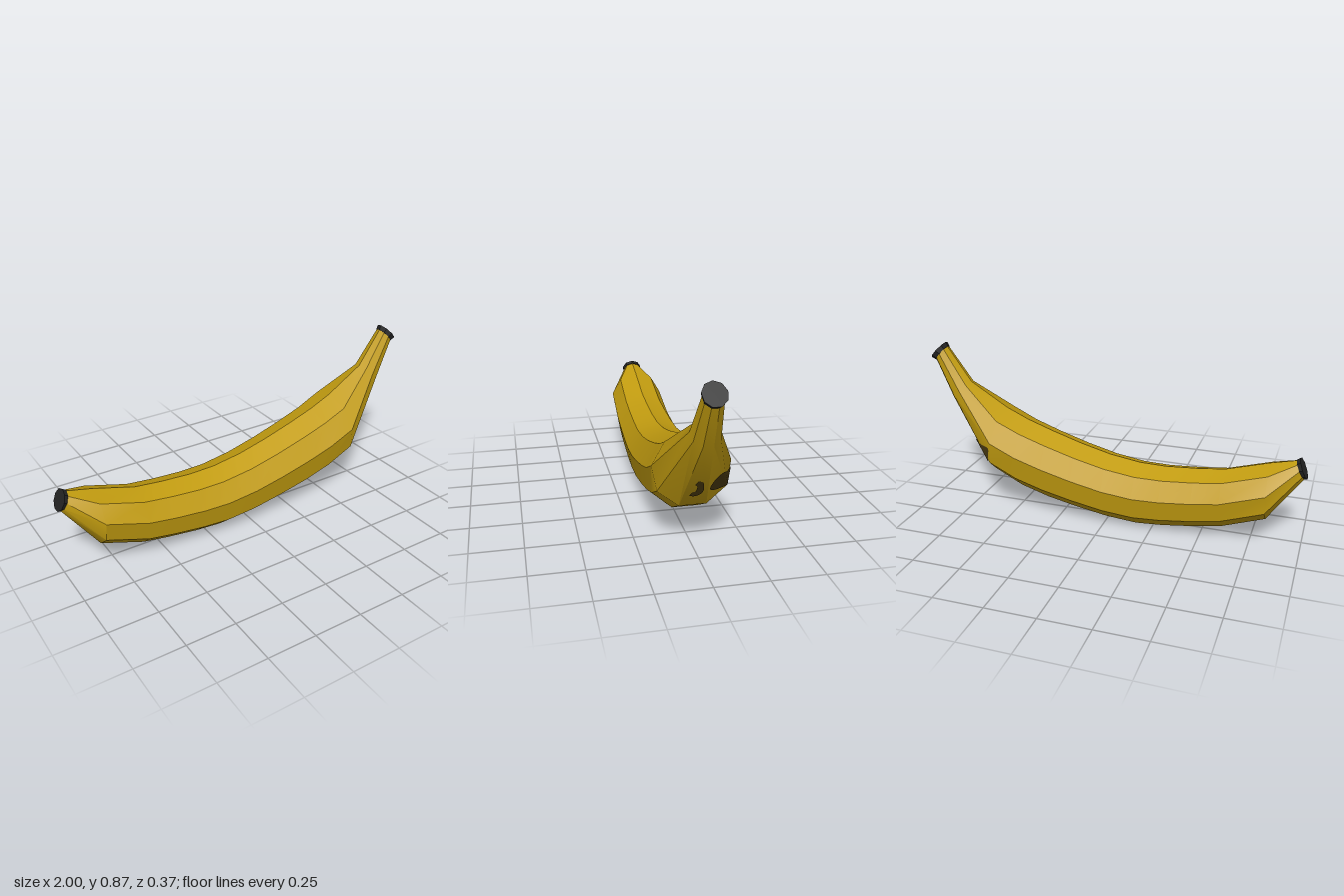
import * as THREE from 'three';
import { toCreasedNormals } from 'three/addons/utils/BufferGeometryUtils.js';

const SIDES = 9;
const COS = Math.cos(Math.PI / SIDES);

// Cross-sections: [top x, top y, bottom x, bottom y, radius across z]
const BODY = [
  [-0.945, 0.442, -0.987, 0.358, 0.048],
  [-0.82, 0.412, -0.82, 0.13, 0.147],
  [-0.6, 0.347, -0.6, 0.053, 0.153],
  [-0.46, 0.331, -0.46, 0.03, 0.157],
  [-0.3, 0.32, -0.3, 0.01, 0.161],
  [-0.16, 0.323, -0.16, 0.001, 0.165],
  [0, 0.347, 0, 0.015, 0.17],
  [0.16, 0.388, 0.17, 0.045, 0.174],
  [0.32, 0.438, 0.33, 0.08, 0.178],
  [0.46, 0.487, 0.48, 0.127, 0.182],
  [0.58, 0.541, 0.63, 0.205, 0.186],
  [0.78, 0.663, 0.88, 0.577, 0.068],
  [0.908, 0.845, 0.97, 0.775, 0.047],
];
const TIP_CAP = [
  [-0.957, 0.456, -1.0, 0.357, 0.056],
  [-0.94, 0.445, -0.985, 0.355, 0.05],
];
const STEM_CAP = [
  [0.905, 0.846, 0.97, 0.771, 0.049],
  [0.916, 0.868, 0.995, 0.784, 0.055],
];

function geometryFrom(points, index) {
  const g = new THREE.BufferGeometry();
  g.setAttribute('position', new THREE.Float32BufferAttribute(points, 3));
  g.setIndex(index);
  return g;
}

// Skin a row of nine-sided rings, running towards +x, optionally closed at both ends
function loft(rings, closed, crease) {
  const pts = [], idx = [], centres = [];
  for (const [tx, ty, bx, by, rz] of rings) {
    const dx = (tx - bx) / (1 + COS), dy = (ty - by) / (1 + COS);
    centres.push([tx - dx, ty - dy, 0]);
    for (let j = 0; j < SIDES; j++) {
      const a = (j / SIDES) * Math.PI * 2;
      pts.push(tx - dx + dx * Math.cos(a), ty - dy + dy * Math.cos(a), rz * Math.sin(a));
    }
  }
  const at = (i, j) => i * SIDES + (j % SIDES);
  const last = rings.length - 1;
  for (let j = 0; j < SIDES; j++) {
    for (let i = 0; i < last; i++) {
      idx.push(at(i, j), at(i, j + 1), at(i + 1, j), at(i, j + 1), at(i + 1, j + 1), at(i + 1, j));
    }
  }
  if (closed) {
    const c = pts.length / 3;
    pts.push(...centres[0], ...centres[last]);
    for (let j = 0; j < SIDES; j++) {
      idx.push(c, at(0, j + 1), at(0, j), c + 1, at(last, j), at(last, j + 1));
    }
  }
  return toCreasedNormals(geometryFrom(pts, idx), crease);
}

// Lay a grid of (z, y) points on the underside of the neck, just above the skin
function bruise(body, rows, cols, place, material, name) {
  const ray = new THREE.Raycaster();
  const pts = [], idx = [];
  for (let i = 0; i <= rows; i++) {
    for (let j = 0; j <= cols; j++) {
      let [z, y] = place(i / rows, j / cols);
      let hit;
      for (let k = 0; k < 12 && !hit; k++, z *= 0.985) {
        ray.set(new THREE.Vector3(3, y, z), new THREE.Vector3(-1, 0, 0));
        hit = ray.intersectObject(body)[0];
      }
      const p = hit.point.addScaledVector(hit.face.normal, 0.004);
      pts.push(p.x, p.y, p.z);
    }
  }
  for (let i = 0; i < rows; i++) {
    for (let j = 0; j < cols; j++) {
      const a = i * (cols + 1) + j, b = a + cols + 1;
      idx.push(a, b, a + 1, b, b + 1, a + 1);
    }
  }
  const g = geometryFrom(pts, idx);
  g.computeVertexNormals();
  const mesh = new THREE.Mesh(g, material);
  mesh.name = name;
  return mesh;
}

const curve = (list, closed) =>
  new THREE.CatmullRomCurve3(list.map(([z, y]) => new THREE.Vector3(z, y, 0)), closed);

export function createModel() {
  const group = new THREE.Group();
  group.name = 'banana';
  const peel = new THREE.MeshStandardMaterial({ color: 0xc29c10 });
  peel.name = 'yellow peel';
  const dark = new THREE.MeshStandardMaterial({ color: 0x232323 });
  dark.name = 'black ends';
  const brown = new THREE.MeshStandardMaterial({ color: 0x4a3a10, side: THREE.DoubleSide });
  brown.name = 'brown bruise';

  const add = (name, geometry, material) => {
    const mesh = new THREE.Mesh(geometry, material);
    mesh.name = name;
    group.add(mesh);
    return mesh;
  };

  // Curved fruit with its two dark ends
  const body = add('peel', loft(BODY, false, 0.5), peel);
  add('tipCap', loft(TIP_CAP, true, 0.5), dark);
  add('stemCap', loft(STEM_CAP, true, 0.5), dark);

  // Large bruise: concentric loops inside an outline
  const outline = curve([
    [-0.058, 0.315], [-0.069, 0.347], [-0.09, 0.374], [-0.117, 0.387], [-0.142, 0.373],
    [-0.173, 0.37], [-0.168, 0.335], [-0.162, 0.31], [-0.157, 0.29], [-0.115, 0.286],
    [-0.085, 0.289], [-0.066, 0.297],
  ], true);
  group.add(bruise(body, 8, 48, (r, t) => {
    const p = outline.getPoint(t);
    return [-0.115 + (p.x + 0.115) * r, 0.333 + (p.y - 0.333) * r];
  }, brown, 'largeBruise'));

  // Small crescent bruise: a strip between two edges
  const outer = curve([[0.002, 0.37], [-0.018, 0.36], [-0.027, 0.335], [-0.031, 0.31],
    [-0.024, 0.285], [0.002, 0.27], [0.026, 0.274]], false);
  const inner = curve([[0.004, 0.366], [0.014, 0.348], [0.004, 0.338], [0.002, 0.315],
    [0.005, 0.303], [0.02, 0.296], [0.028, 0.28]], false);
  group.add(bruise(body, 6, 24, (r, t) => {
    const p = outer.getPoint(t).lerp(inner.getPoint(t), r);
    return [p.x, p.y];
  }, brown, 'smallBruise'));

  return group;
}
